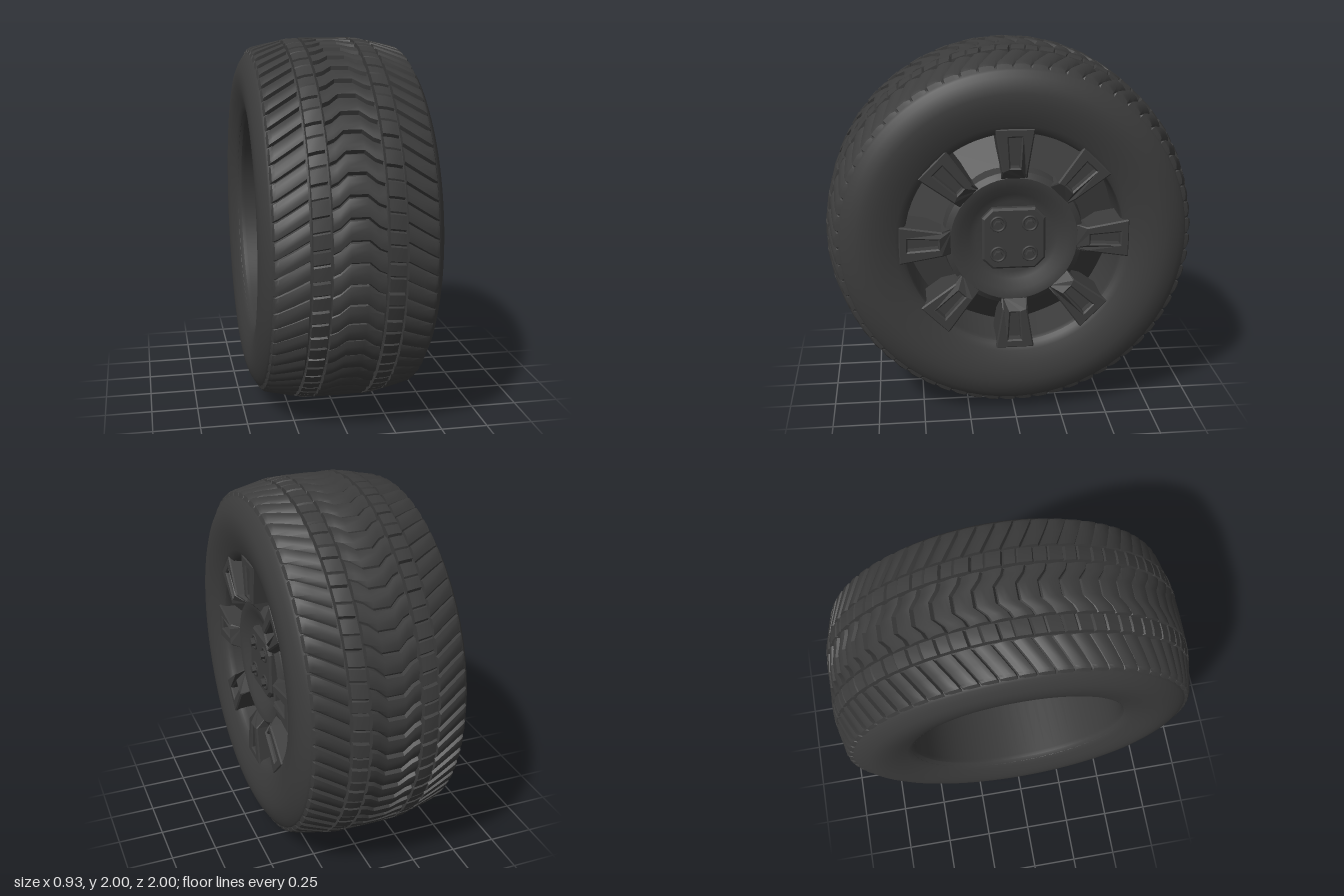
import * as THREE from 'three';
import { toCreasedNormals } from 'three/addons/utils/BufferGeometryUtils.js';

const rubber = new THREE.MeshStandardMaterial({ color: 0x3c3c3c });
const metal = new THREE.MeshStandardMaterial({ color: 0x3c3c3c, side: THREE.DoubleSide });

function mesh(name, geometry, material = metal) {
  const m = new THREE.Mesh(geometry, material);
  m.name = name;
  return m;
}

const lathe = (points, segments) =>
  new THREE.LatheGeometry(points.map(([r, a]) => new THREE.Vector2(r, a)), segments);

// Extrude a flat outline along the axle, from level a0 to level a1
function plate(corners, hole, a0, a1, bevel = 0) {
  const toPoints = (list) => list.map(([x, y]) => new THREE.Vector2(x, y));
  const shape = new THREE.Shape(toPoints(corners));
  if (hole) shape.holes.push(new THREE.Path(toPoints(hole)));
  const g = new THREE.ExtrudeGeometry(shape, {
    depth: a1 - a0 - 2 * bevel, bevelEnabled: bevel > 0,
    bevelThickness: bevel, bevelSize: bevel, bevelOffset: -bevel, bevelSegments: 1,
  });
  return g.translate(0, 0, a0 + bevel).rotateX(-Math.PI / 2);
}

// Crown of the tread: flat in the middle, dropping to the shoulders
const crown = (a) => 1 - 0.05 * Math.max(0, (Math.abs(a) - 0.18) / 0.22);

// A ring of lugs. columns: [axial position, drop below crown, forward shear];
// steps: [fraction of one lug, cut depth]
function treadRib(name, columns, steps, count, phase = 0) {
  const pos = [], index = [], n = columns.length, rows = count * steps.length;
  for (let i = 0; i < rows; i++) {
    const [f, cut] = steps[i % steps.length];
    const turn = ((Math.floor(i / steps.length) + f + phase) / count) * Math.PI * 2;
    for (const [a, drop, shear] of columns) {
      const r = crown(a) - Math.max(drop, cut);
      pos.push(-r * Math.sin(turn + shear), a, r * Math.cos(turn + shear));
    }
    for (let j = 0; j < n - 1; j++) {
      const p = i * n + j, q = ((i + 1) % rows) * n + j;
      index.push(p, p + 1, q + 1, p, q + 1, q);
    }
  }
  const g = new THREE.BufferGeometry();
  g.setAttribute('position', new THREE.Float32BufferAttribute(pos, 3));
  g.setIndex(index);
  return mesh(name, toCreasedNormals(g, 0.5), rubber);
}

function createTire() {
  const tire = new THREE.Group();
  tire.name = 'tire';

  // Carcass with rounded sidewalls; the tread sits on top of it
  const half = [[0.585, 0.4], [0.6, 0.418], [0.63, 0.432], [0.69, 0.452], [0.75, 0.463],
    [0.8, 0.463], [0.84, 0.455], [0.88, 0.439], [0.91, 0.42], [0.93, 0.4], [0.93, 0.37],
    [0.955, 0.24], [0.965, 0.1]];
  const profile = [...half.map(([r, a]) => [r, -a]), ...half.reverse()];
  tire.add(mesh('carcass', lathe(profile, 128), rubber));

  // Chevron lugs in the middle
  const lug = [[0, 0.024], [0.1, 0.003], [0.35, 0], [0.65, 0.004], [0.93, 0.015]];
  tire.add(treadRib('centerRib', [[-0.132, 0.05, -0.06], [-0.13, 0, -0.06], [-0.095, 0, -0.045],
    [-0.045, 0, 0], [0.045, 0, 0], [0.095, 0, -0.045], [0.13, 0, -0.06], [0.132, 0.05, -0.06]],
    lug, 58));

  for (const s of [-1, 1]) {
    const side = s < 0 ? 'right' : 'left';
    const mirror = (cols) => {
      const out = cols.map(([a, d, sh]) => [s * a, d, sh]);
      return s < 0 ? out.reverse() : out;
    };
    // Narrow ring of square blocks
    tire.add(treadRib(side + 'BlockRib', mirror([[0.143, 0.05, 0], [0.145, 0, 0],
      [0.19, 0, -0.006], [0.226, 0, -0.012], [0.228, 0.05, -0.012]]),
      [[0, 0.022], [0.06, 0.002], [0.5, 0], [0.55, 0.008], [0.6, 0.002], [0.95, 0.004]], 40,
      s < 0 ? 0.5 : 0));
    // Slanted shoulder lugs wrapping down to the sidewall
    tire.add(treadRib(side + 'ShoulderRib', mirror([[0.238, 0.05, -0.01], [0.24, 0, -0.01],
      [0.32, 0, -0.06], [0.385, 0, -0.1], [0.402, 0.008, -0.108], [0.418, 0.045, -0.11]]),
      lug, 64, s < 0 ? 0.3 : 0));
  }
  return tire;
}

function createRim() {
  const rim = new THREE.Group();
  rim.name = 'rim';

  // Open barrel, seen from inside
  rim.add(mesh('barrel', lathe([[0.61, 0.415], [0.59, 0.405], [0.58, 0.37],
    [0.58, -0.38], [0.6, -0.418]], 64)));

  // Eight flat pocket walls falling away behind the spokes
  const pocket = lathe([[0.63, 0.08], [0.37, 0.33]], 8).toNonIndexed();
  pocket.computeVertexNormals();
  rim.add(mesh('pocketWalls', pocket.rotateY(Math.PI / 2)));

  // Dished hub with a raised outer lip
  rim.add(mesh('hubDish', toCreasedNormals(lathe([[0.385, 0.27], [0.37, 0.365], [0.34, 0.385],
    [0.29, 0.38], [0.24, 0.345], [0.2, 0.335], [0, 0.335]], 48), 0.6)));

  // Spokes, each with a sunken slot
  const outline = [[0.32, -0.07], [0.385, -0.068], [0.612, -0.105], [0.612, 0.105],
    [0.385, 0.068], [0.32, 0.07]];
  const slot = [[0.405, -0.024], [0.565, -0.034], [0.565, 0.034], [0.405, 0.024]];
  const spoke = plate(outline, slot, 0.2, 0.43, 0.008);
  const floor = plate(slot, null, 0.3, 0.375);
  // Lower the spoke root into the hub
  const p = spoke.attributes.position;
  for (let i = 0; i < p.count; i++) {
    if (p.getY(i) > 0.3 && p.getX(i) < 0.37) p.setY(i, p.getY(i) - 0.055);
  }
  spoke.computeVertexNormals();
  for (let k = 0; k < 8; k++) {
    const g = new THREE.Group();
    g.name = 'spoke' + (k + 1);
    g.add(mesh('spokeBody', spoke), mesh('slotFloor', floor));
    g.rotation.y = (k * Math.PI) / 4;
    rim.add(g);
  }

  // Center plate with clipped corners and four wheel nuts
  const w = 0.17, c = 0.115;
  rim.add(mesh('hubPlate', plate([[w, -c], [w, c], [c, w], [-c, w], [-w, c], [-w, -c],
    [-c, -w], [c, -w]], null, 0.3, 0.375, 0.012)));
  for (const x of [-0.085, 0.085]) {
    for (const z of [-0.085, 0.085]) {
      const seat = mesh('nutSeat', new THREE.TorusGeometry(0.038, 0.007, 6, 20).rotateX(Math.PI / 2));
      seat.position.set(x, 0.375, z);
      const nut = mesh('wheelNut', toCreasedNormals(new THREE.CylinderGeometry(0.022, 0.027, 0.17, 6), 0.5));
      nut.position.set(x, 0.315, z);
      rim.add(seat, nut);
    }
  }
  return rim;
}

export function createModel() {
  const model = new THREE.Group();
  model.name = 'wheel';
  const axle = new THREE.Group();
  axle.name = 'wheelAssembly';
  axle.add(createTire(), createRim());
  // Lay the axle along x, with the rim face toward +x
  axle.rotation.z = -Math.PI / 2;
  axle.position.y = 1;
  model.add(axle);
  return model;
}
